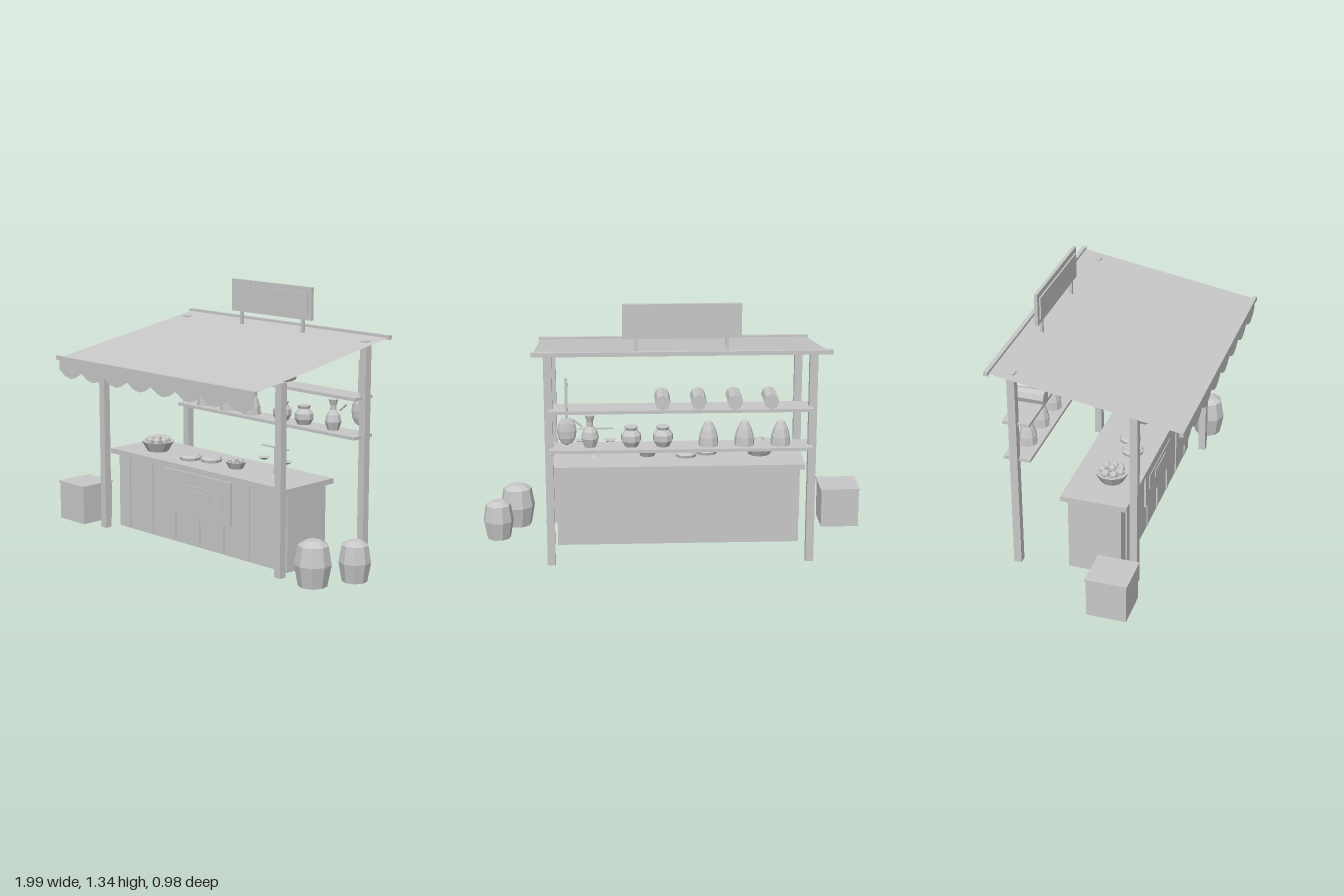
import * as THREE from 'three';

const grey = new THREE.MeshStandardMaterial({ color: 0xc8c8c8, flatShading: true, side: THREE.DoubleSide });
grey.name = 'plain grey';

const CX = -0.02; // middle of the stall

export function createModel() {
  const root = new THREE.Group();
  root.name = 'marketStall';

  const add = (name, geometry, x = 0, y = 0, z = 0) => {
    const mesh = new THREE.Mesh(geometry, grey);
    mesh.name = name;
    mesh.position.set(x, y, z);
    root.add(mesh);
    return mesh;
  };
  // box given by its limits on each axis
  const box = (name, x0, x1, y0, y1, z0, z1) =>
    add(name, new THREE.BoxGeometry(x1 - x0, y1 - y0, z1 - z0), (x0 + x1) / 2, (y0 + y1) / 2, (z0 + z1) / 2);
  // turned part from [radius, height] pairs, bottom to top
  const turned = (name, profile, sides, x, y, z) =>
    add(name, new THREE.LatheGeometry(profile.map(([r, h]) => new THREE.Vector2(r, h)), sides), x, y, z);

  // posts
  for (const s of [-1, 1]) {
    const x = CX + s * 0.65;
    box('frontPost', x - 0.02, x + 0.02, 0, 0.965, 0.215, 0.253);
    box('backPost', x - 0.02, x + 0.02, 0, 1.1, -0.4, -0.36);
  }

  // sloping awning sheet with end bars
  const rise = 0.16, run = 0.96;
  const roof = add('awning', new THREE.PlaneGeometry(1.435, Math.hypot(rise, run)), CX, 1.032, 0);
  roof.rotation.x = -Math.PI / 2 + Math.atan2(rise, run);
  box('frontBar', -0.75, 0.705, 0.94, 0.963, 0.472, 0.493);
  box('backBar', -0.75, 0.705, 1.102, 1.123, -0.49, -0.468);

  // scalloped valance
  const valance = new THREE.Shape();
  valance.moveTo(-0.737, 0.95);
  const steps = 32;
  for (let i = 0; i <= steps; i++) {
    const drop = Math.abs(Math.sin((i / 4) * Math.PI));
    valance.lineTo(-0.737 + (1.434 * i) / steps, 0.888 - 0.038 * drop);
  }
  valance.lineTo(0.697, 0.95);
  add('valance', new THREE.ShapeGeometry(valance), 0, 0, 0.483);

  // counter with battens
  box('counterBody', -0.645, 0.605, 0, 0.405, -0.12, 0.155);
  box('counterTop', -0.67, 0.63, 0.405, 0.432, -0.15, 0.193);
  for (let i = -3; i <= 3; i++) {
    const x = CX + i * 0.18;
    box('batten', x - 0.007, x + 0.007, 0.01, 0.4, 0.155, 0.162);
  }

  // hanging cloth with raised bands
  box('cloth', -0.265, 0.225, 0.165, 0.39, 0.16, 0.17);
  box('clothBand', -0.21, 0.17, 0.245, 0.325, 0.17, 0.174);
  box('clothBand', -0.115, 0.075, 0.26, 0.3, 0.174, 0.178);

  // sign above the roof
  box('signBoard', -0.315, 0.265, 1.163, 1.335, -0.39, -0.373);
  box('signPanel', -0.29, 0.242, 1.19, 1.307, -0.373, -0.365);
  for (const x of [-0.245, 0.2]) box('signPost', x - 0.008, x + 0.008, 1.085, 1.163, -0.388, -0.373);

  // back shelves
  for (const y of [0.6, 0.8]) box('shelf', -0.67, 0.63, y, y + 0.016, -0.44, -0.3);

  // cloth rolls on the upper shelf
  for (let i = 0; i < 4; i++) {
    const roll = add('clothRoll', new THREE.CylinderGeometry(0.038, 0.038, 0.15, 8), -0.46 + i * 0.177, 0.854, -0.365);
    roll.rotation.x = Math.PI / 2;
  }

  // goods on the lower shelf
  const shelfY = 0.616, shelfZ = -0.37;
  for (const x of [-0.515, -0.335, -0.157])
    turned('cone', [[0, 0], [0.05, 0], [0.047, 0.045], [0.035, 0.085], [0.018, 0.118], [0, 0.13]], 9, x, shelfY, shelfZ);
  for (const x of [0.068, 0.225])
    turned('jar', [[0, 0], [0.034, 0], [0.05, 0.03], [0.05, 0.06], [0.03, 0.085], [0.036, 0.1], [0, 0.1]], 9, x, shelfY, shelfZ);
  turned('bottle', [[0, 0], [0.03, 0], [0.044, 0.045], [0.036, 0.08], [0.016, 0.105], [0.016, 0.13], [0.025, 0.16], [0, 0.155]],
    9, 0.428, shelfY, shelfZ);
  const stick = add('stick', new THREE.CylinderGeometry(0.005, 0.005, 0.06, 6), 0.487, 0.74, -0.38);
  stick.rotation.z = -0.87;

  // hanging pan-shaped instrument
  const body = add('instrumentBody', new THREE.SphereGeometry(1, 10, 6), 0.54, 0.72, -0.44);
  body.scale.set(0.048, 0.074, 0.023);
  box('instrumentNeck', 0.533, 0.547, 0.78, 0.985, -0.45, -0.439);

  // bowls of fruit
  const topY = 0.432;
  const bowl = (x, z, r, h, fruitRadius, count) => {
    turned('bowl', [[0, 0], [r * 0.65, 0], [r, h], [r * 0.88, h], [0, h * 0.7]], 10, x, topY, z);
    for (let i = 0; i <= count; i++) {
      const a = (i / count) * Math.PI * 2;
      const ring = i === count ? 0 : r * 0.55;
      const lift = i === count ? fruitRadius * 0.45 : 0;
      add('fruit', new THREE.SphereGeometry(fruitRadius, 7, 5),
        x + ring * Math.cos(a), topY + h + fruitRadius * 0.25 + lift, z + ring * Math.sin(a));
    }
  };
  bowl(-0.45, 0.048, 0.088, 0.054, 0.021, 7);
  bowl(0.135, 0.04, 0.056, 0.036, 0.013, 5);

  // flat loaves
  for (const [x, z] of [[-0.175, 0.07], [-0.065, 0.024]])
    turned('loaf', [[0, 0], [0.054, 0], [0.058, 0.015], [0.048, 0.027], [0, 0.028]], 10, x, topY, z);

  // balance scale
  const sx = 0.405, sz = 0.035;
  add('scaleBase', new THREE.CylinderGeometry(0.02, 0.028, 0.01, 8), sx, topY + 0.004, sz);
  box('scalePost', sx - 0.005, sx + 0.005, topY, 0.588, sz - 0.005, sz + 0.005);
  box('scaleBeam', sx - 0.092, sx + 0.09, 0.579, 0.586, sz - 0.004, sz + 0.004);
  for (const s of [-1, 1])
    turned('scalePan', [[0, 0], [0.012, 0.001], [0.034, 0.014], [0, 0.012]], 8, sx + s * 0.076, 0.508, sz);

  // crate with lid
  box('crate', -0.993, -0.793, 0, 0.203, 0.088, 0.29);
  box('crateLid', -0.998, -0.788, 0.203, 0.212, 0.083, 0.296);

  // bulging sacks beside the stall
  for (const [x, z, r, h] of [[0.827, 0.212, 0.092, 0.224], [0.918, 0.012, 0.08, 0.202]])
    turned('sack', [[0, 0], [r * 0.78, 0], [r, h * 0.48], [r * 0.82, h * 0.9], [r * 0.4, h], [0, h]], 9, x, 0, z);

  return root;
}
